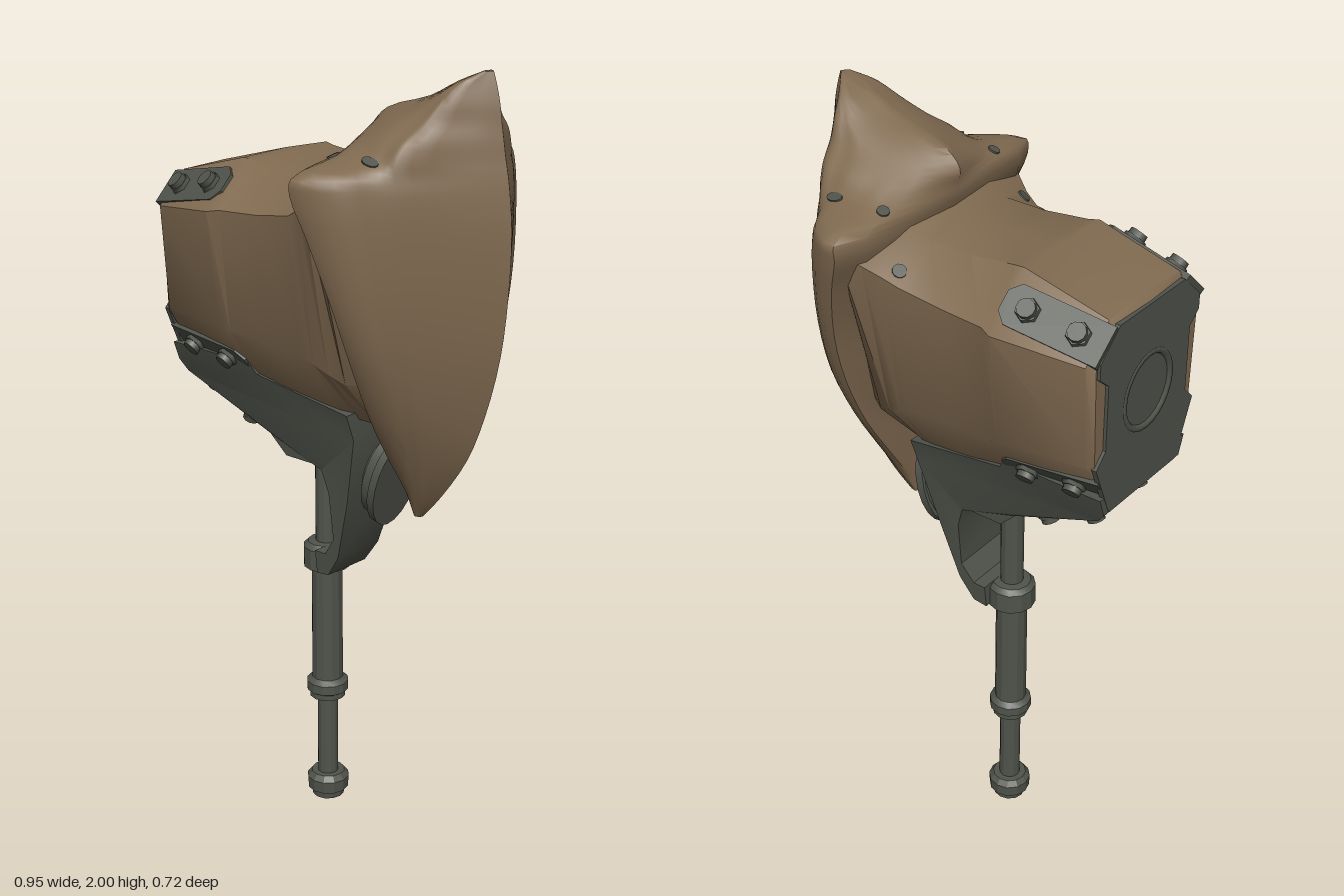
import * as THREE from 'three';
import { toCreasedNormals } from 'three/addons/utils/BufferGeometryUtils.js';

const V = (x, y, z) => new THREE.Vector3(x, y, z);

// Closed solid through a list of equal-length rings, capped at both ends
function loft(rings, crease) {
  const n = rings[0].length, pts = rings.flat(), idx = [];
  for (let r = 0; r < rings.length - 1; r++) {
    for (let i = 0; i < n; i++) {
      const a = r * n + i, b = r * n + (i + 1) % n;
      idx.push(a, b, b + n, a, b + n, a + n);
    }
  }
  [[0, true], [rings.length - 1, false]].forEach(([r, flip]) => {
    const c = pts.length;
    pts.push(rings[r].reduce((s, p) => s.add(p), V(0, 0, 0)).divideScalar(n));
    for (let i = 0; i < n; i++) {
      const a = r * n + i, b = r * n + (i + 1) % n;
      idx.push(c, flip ? b : a, flip ? a : b);
    }
  });
  // Turn the faces outward
  let volume = 0;
  for (let i = 0; i < idx.length; i += 3) {
    volume += pts[idx[i]].dot(pts[idx[i + 1]].clone().cross(pts[idx[i + 2]]));
  }
  if (volume < 0) idx.reverse();
  const g = new THREE.BufferGeometry().setFromPoints(pts);
  g.setIndex(idx);
  return toCreasedNormals(g, crease);
}

// Half a ring (z >= 0, ends on z = 0) completed by its mirror image
const mirrorRing = half => [...half, ...half.slice(1, -1).reverse().map(p => V(p.x, p.y, -p.z))];

export function createModel() {
  const model = new THREE.Group();
  model.name = 'armouredHeadOnPost';
  const hide = new THREE.MeshStandardMaterial({ color: 0x806a50 });
  hide.name = 'brown shell';
  const metal = new THREE.MeshStandardMaterial({ color: 0x50534b });
  metal.name = 'dark metal';
  const add = (name, geo, mat, parent = model) => {
    const m = new THREE.Mesh(geo, mat);
    m.name = name;
    parent.add(m);
    return m;
  };

  // Body: bevelled sections along x
  // x, top y, top z, shoulder y, shoulder z, low y, low z, bottom y, bottom z
  const bodyRows = [
    [-0.465, 1.685, 0.13, 1.61, 0.205, 1.345, 0.195, 1.23, 0.12],
    [-0.45, 1.70, 0.14, 1.615, 0.225, 1.345, 0.205, 1.22, 0.13],
    [-0.23, 1.757, 0.145, 1.64, 0.275, 1.345, 0.24, 1.20, 0.14],
    [-0.2, 1.752, 0.14, 1.645, 0.262, 1.34, 0.235, 1.20, 0.14],
    [-0.08, 1.738, 0.14, 1.65, 0.258, 1.335, 0.235, 1.18, 0.14],
    [0.03, 1.738, 0.14, 1.665, 0.262, 1.325, 0.23, 1.165, 0.13],
    [0.07, 1.75, 0.145, 1.685, 0.275, 1.31, 0.225, 1.155, 0.12],
    [0.11, 1.77, 0.15, 1.71, 0.297, 1.29, 0.215, 1.15, 0.1],
    [0.15, 1.78, 0.16, 1.735, 0.325, 1.27, 0.2, 1.14, 0.08],
    [0.24, 1.76, 0.14, 1.70, 0.24, 1.27, 0.14, 1.15, 0.05],
  ];
  const body = add('body', loft(bodyRows.map(([x, ty, tz, sy, sz, ly, lz, by, bz]) => mirrorRing([
    V(x, ty, 0), V(x, ty - 0.005, tz), V(x, sy, sz), V(x, ly, lz), V(x, by, bz), V(x, by, 0),
  ])), 0.62), hide);

  // Prow shield: horizontal sections from the lower tip to the crest
  // y, prow x, fold x z, wing x z, wing rear x z, back x
  const prowRows = [
    [0.90, 0.225, 0.22, 0.01, 0.21, 0.012, 0.205, 0.01, 0.2],
    [0.97, 0.285, 0.25, 0.04, 0.225, 0.047, 0.205, 0.042, 0.2],
    [1.08, 0.36, 0.285, 0.08, 0.245, 0.108, 0.205, 0.112, 0.205],
    [1.2, 0.41, 0.308, 0.122, 0.265, 0.17, 0.21, 0.185, 0.2],
    [1.35, 0.45, 0.32, 0.165, 0.28, 0.23, 0.21, 0.253, 0.15],
    [1.5, 0.468, 0.322, 0.195, 0.275, 0.27, 0.195, 0.303, 0.13],
    [1.65, 0.472, 0.318, 0.21, 0.255, 0.30, 0.16, 0.342, 0.1],
    [1.74, 0.463, 0.312, 0.213, 0.235, 0.315, 0.13, 0.36, 0.08],
    [1.777, 0.457, 0.306, 0.21, 0.225, 0.312, 0.132, 0.358, 0.07],
    [1.81, 0.45, 0.303, 0.205, 0.23, 0.222, 0.14, 0.22, 0.065],
    [1.85, 0.443, 0.312, 0.18, 0.23, 0.18, 0.14, 0.125, 0.06],
    [1.89, 0.436, 0.328, 0.13, 0.25, 0.125, 0.17, 0.07, 0.10],
    [1.93, 0.43, 0.342, 0.10, 0.3, 0.09, 0.26, 0.05, 0.23],
    [1.97, 0.42, 0.36, 0.062, 0.34, 0.055, 0.33, 0.035, 0.31],
    [2.0, 0.41, 0.395, 0.015, 0.39, 0.015, 0.388, 0.01, 0.385],
  ];
  const prowPts = prowRows.map(([y, f, ex, ez, wx, wz, rx, rz, c]) => [
    V(f, y, 0), V((f + ex) / 2, y, ez / 2), V(ex, y, ez),
    V(ex * 0.6 + wx * 0.4 - 0.004, y, ez * 0.6 + wz * 0.4),
    V(wx, y, wz), V(rx, y, rz), V(c, y, 0),
  ]);
  const columns = prowPts[0].map((_, k) =>
    new THREE.CatmullRomCurve3(prowPts.map(row => row[k])));
  const prowRings = [], steps = (prowRows.length - 1) * 3;
  for (let i = 0; i <= steps; i++) {
    const across = new THREE.CatmullRomCurve3(columns.map(c => c.getPoint(i / steps)));
    const half = across.getPoints(18);
    half[0].z = half[18].z = 0;
    prowRings.push(mirrorRing(half));
  }
  const prow = add('prowShield', loft(prowRings, 0.85), hide);

  // Worn spots lying on the shell
  const down = V(0, -1, 0);
  for (const [x, z, r, stretch] of [[0.05, 0.235, 0.017, 1], [0.118, 0.205, 0.015, 1], [0.245, 0.222, 0.013, 1.7]]) {
    for (const s of [1, -1]) {
      const hit = new THREE.Raycaster(V(x, 3, z * s), down).intersectObjects([body, prow])[0];
      const spot = add('wornSpot', new THREE.CylinderGeometry(r, r, 0.008, 12).scale(stretch, 1, 1), metal);
      spot.position.copy(hit.point);
      spot.quaternion.setFromUnitVectors(V(0, 1, 0), hit.face.normal);
    }
  }

  // Rear cap: waisted plate with a round port
  const capShape = new THREE.Shape([
    [-0.13, 1.685], [-0.2, 1.62], [-0.2, 1.58], [-0.165, 1.55], [-0.165, 1.38], [-0.2, 1.345], [-0.14, 1.2],
    [0.14, 1.2], [0.2, 1.345], [0.165, 1.38], [0.165, 1.55], [0.2, 1.58], [0.2, 1.62], [0.13, 1.685],
  ].map(p => new THREE.Vector2(...p)));
  capShape.holes.push(new THREE.Path().absarc(0, 1.46, 0.1, 0, Math.PI * 2, true));
  const cap = add('rearCap', new THREE.ExtrudeGeometry(capShape, { depth: 0.014, bevelEnabled: false, curveSegments: 16 }), metal);
  cap.rotation.y = -Math.PI / 2;
  cap.position.x = -0.459;
  const port = add('rearPort', new THREE.CylinderGeometry(0.1, 0.1, 0.008, 24), metal);
  port.rotation.z = Math.PI / 2;
  port.position.set(-0.464, 1.46, 0);
  const rim = add('rearPortRim', new THREE.TorusGeometry(0.095, 0.011, 6, 24), metal);
  rim.rotation.y = Math.PI / 2;
  rim.position.set(-0.465, 1.46, 0);

  // Hex bolt standing along local z
  const bolt = (parent, x, y, z) => {
    [[0.03, 0.012, 6], [0.024, 0.026, 10]].forEach(([r, h, n]) => {
      const m = add('bolt', new THREE.CylinderGeometry(r * 0.92, r, h, n).rotateX(Math.PI / 2), metal, parent);
      m.position.set(x, y, z + h / 2);
    });
  };
  // Group with local x along a direction and local z along a normal
  const frame = (name, pos, along, normal) => {
    const g = new THREE.Group();
    g.name = name;
    const x = along.clone().normalize();
    const y = normal.clone().cross(x).normalize();
    g.quaternion.setFromRotationMatrix(new THREE.Matrix4().makeBasis(x, y, x.clone().cross(y)));
    g.position.copy(pos);
    model.add(g);
    return g;
  };
  const strap = (g, l, w) => {
    const c = 0.025, a = l / 2, b = w / 2;
    const s = new THREE.Shape([[-a, -b], [a - c, -b], [a, c - b], [a, b - c], [a - c, b], [-a, b]]
      .map(p => new THREE.Vector2(...p)));
    add('strapPlate', new THREE.ExtrudeGeometry(s, { depth: 0.02, bevelEnabled: false }), metal, g).position.z = -0.012;
    bolt(g, -0.06, 0, 0.006);
    bolt(g, 0.066, 0, 0.006);
  };

  for (const s of [1, -1]) {
    // Straps on the upper and lower bevels, and bolts under the bracket
    strap(frame('upperStrap', V(-0.347, 1.673, 0.193 * s), V(0.25, 0.046, 0.031 * s), V(0, 0.73, 0.68 * s)), 0.256, 0.1);
    strap(frame('lowerStrap', V(-0.335, 1.262, 0.165 * s), V(0.25, -0.02, 0.014 * s), V(0, -0.6, 0.8 * s)), 0.27, 0.075);
    const under = frame('underBolts', V(-0.335, 1.117, 0.09 * s), V(0.26, -0.12, 0), V(-0.42, -0.91, 0));
    bolt(under, -0.07, 0, 0);
    bolt(under, 0.072, 0, 0);
  }

  // Bracket: side profile whose width grows with height
  const profile = new THREE.Shape([
    [-0.472, 1.25], [-0.472, 1.2], [-0.45, 1.17], [-0.19, 1.05], [-0.14, 1.0], [-0.05, 1.0],
    [-0.02, 0.99], [-0.002, 0.93], [0, 0.8], [-0.035, 0.75], [-0.07, 0.75], [-0.07, 0.685],
    [-0.03, 0.69], [0.01, 0.75], [0.06, 0.92], [0.105, 1.1], [0.105, 1.17], [-0.18, 1.22], [-0.2, 1.25],
  ].map(p => new THREE.Vector2(...p)));
  const bracket = new THREE.ExtrudeGeometry(profile, { depth: 2, bevelEnabled: false }).translate(0, 0, -1);
  const pos = bracket.attributes.position;
  for (let i = 0; i < pos.count; i++) {
    const y = pos.getY(i);
    const w = y < 1.08 ? 0.07 + (y - 0.69) * 0.115 : 0.115 + (y - 1.08) * 0.36;
    pos.setZ(i, pos.getZ(i) * w);
  }
  add('bracket', toCreasedNormals(bracket, 0.5), metal);

  // Oval pad between bracket and prow
  const pad = new THREE.Group();
  pad.name = 'ovalPad';
  pad.position.set(0.115, 0.975, 0);
  pad.rotation.z = -Math.PI / 2 - 0.25;
  pad.scale.z = 0.66;
  model.add(pad);
  [[0.125, 0.022, 0.014], [0.112, 0.03, -0.01], [0.085, 0.1, -0.025]].forEach(([r, h, y]) => {
    add('padLayer', new THREE.CylinderGeometry(r, r, h, 20), metal, pad).position.y = y;
  });

  // Post: stepped turned profile with foot and collars
  const postProfile = [
    [0, 0], [0.043, 0], [0.045, 0.018], [0.055, 0.022], [0.057, 0.055], [0.045, 0.07], [0.028, 0.07],
    [0.028, 0.3], [0.048, 0.3], [0.048, 0.315], [0.056, 0.32], [0.056, 0.345], [0.042, 0.357],
    [0.041, 0.68], [0.062, 0.68], [0.062, 0.735], [0.05, 0.748], [0.03, 0.75], [0.03, 0.99],
    [0.05, 1.0], [0.05, 1.05], [0, 1.05],
  ].map(p => new THREE.Vector2(...p));
  add('post', toCreasedNormals(new THREE.LatheGeometry(postProfile, 12), 0.4), metal).position.x = -0.1;

  return model;
}
